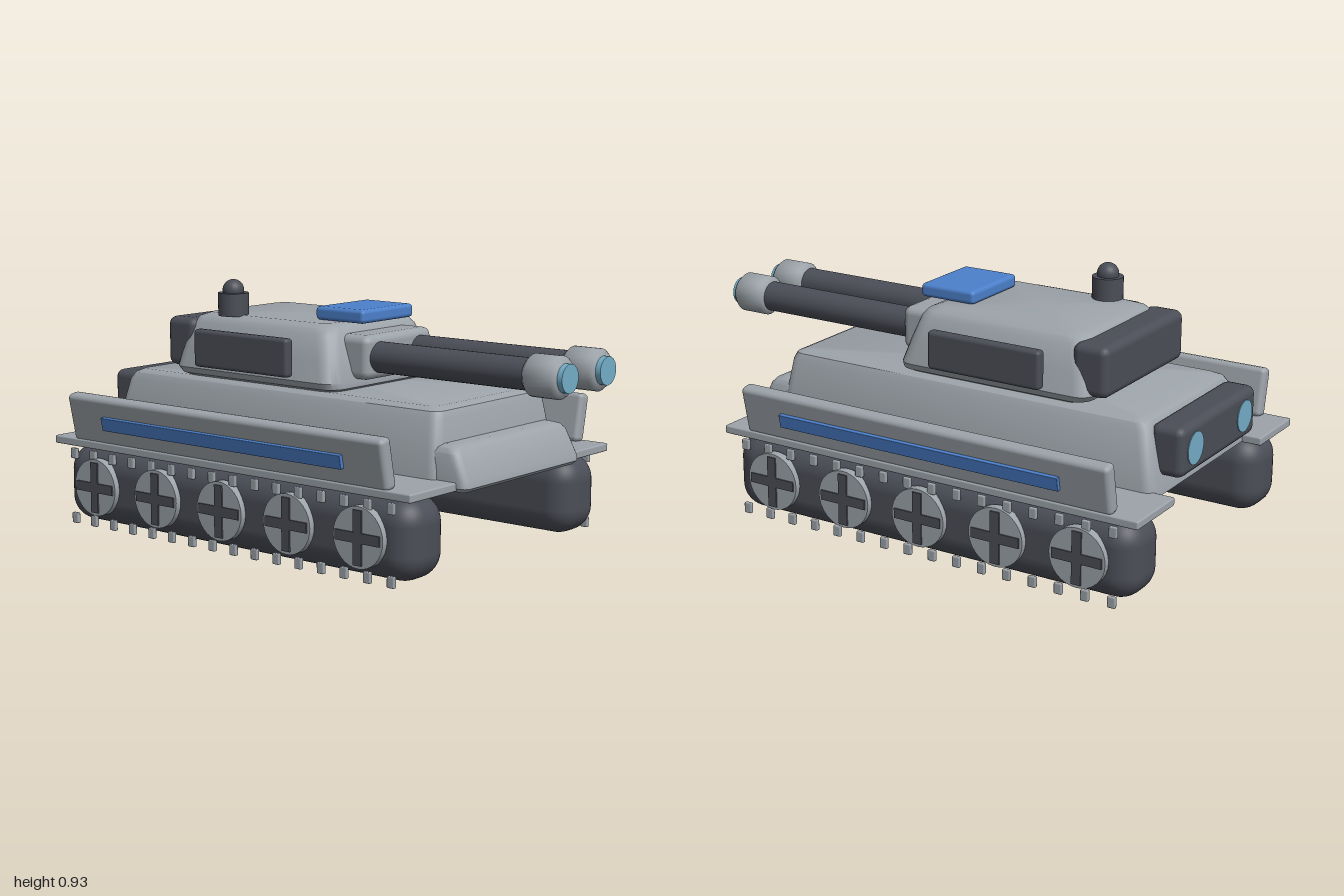
import * as THREE from 'three';
import { toCreasedNormals } from 'three/addons/utils/BufferGeometryUtils.js';
import { RoundedBoxGeometry } from 'three/addons/geometries/RoundedBoxGeometry.js';

const material = (name, color) => {
  const m = new THREE.MeshStandardMaterial({ color });
  m.name = name;
  return m;
};

// Stacks rounded rectangles; each level is [y, xMin, xMax, zHalf, cornerRadius]
function loft(levels, steps = 4) {
  const n = 4 * (steps + 1), pos = [], index = [];
  for (const [y, x0, x1, zh, r] of levels) {
    for (let q = 0; q < 4; q++) {
      const cx = q === 0 || q === 3 ? x1 - r : x0 + r;
      const cz = q < 2 ? zh - r : r - zh;
      for (let k = 0; k <= steps; k++) {
        const a = (q + k / steps) * Math.PI / 2;
        pos.push(cx + r * Math.cos(a), y, cz + r * Math.sin(a));
      }
    }
  }
  const last = levels.length - 1, bottom = pos.length / 3, top = bottom + 1;
  for (const l of [levels[0], levels[last]]) pos.push((l[1] + l[2]) / 2, l[0], 0);
  for (let i = 0; i < n; i++) {
    const j = (i + 1) % n;
    for (let l = 0; l < last; l++) {
      const a = l * n, b = a + n;
      index.push(a + i, b + i, a + j, a + j, b + i, b + j);
    }
    index.push(bottom, i, j, top, last * n + j, last * n + i);
  }
  const g = new THREE.BufferGeometry();
  g.setAttribute('position', new THREE.Float32BufferAttribute(pos, 3));
  g.setIndex(index);
  return toCreasedNormals(g, 0.6);
}

export function createModel() {
  const grey = material('armour grey', 0x9ca3a9);
  const dark = material('dark metal', 0x4b4e57);
  const blue = material('accent blue', 0x4c80cb);
  const glass = material('pale blue glass', 0x74adc8);
  const model = new THREE.Group();
  model.name = 'tank';

  const add = (name, geo, mat, x, y, z, parent = model) => {
    const m = new THREE.Mesh(geo, mat);
    m.name = name;
    m.position.set(x, y, z);
    parent.add(m);
    return m;
  };
  // Rounded box given by its extents
  const box = (name, mat, [x0, x1], [y0, y1], [z0, z1], r, parent = model, seg = 2) =>
    add(name, new RoundedBoxGeometry(x1 - x0, y1 - y0, z1 - z0, seg, r), mat,
      (x0 + x1) / 2, (y0 + y1) / 2, (z0 + z1) / 2, parent);
  const alongX = (r, x0, x1) =>
    new THREE.CylinderGeometry(r, r, x1 - x0, 28).rotateZ(-Math.PI / 2).translate((x0 + x1) / 2, 0, 0);

  // Hull
  add('hull', loft([
    [0.295, -0.91, 0.62, 0.345, 0.03], [0.31, -0.93, 0.635, 0.362, 0.04],
    [0.35, -0.925, 0.633, 0.36, 0.04], [0.53, -0.885, 0.61, 0.325, 0.04],
    [0.555, -0.87, 0.6, 0.312, 0.04], [0.568, -0.84, 0.57, 0.285, 0.03],
  ]), grey, 0, 0, 0);
  add('frontPlate', loft([
    [0.298, 0.45, 0.73, 0.335, 0.02], [0.312, 0.45, 0.746, 0.347, 0.03],
    [0.335, 0.45, 0.742, 0.347, 0.03], [0.425, 0.45, 0.7, 0.338, 0.03],
    [0.442, 0.45, 0.685, 0.325, 0.03], [0.45, 0.45, 0.66, 0.3, 0.03],
  ]), grey, 0, 0, 0);
  box('rearBox', dark, [-0.997, -0.87], [0.37, 0.55], [-0.285, 0.285], 0.03);
  for (const z of [-0.19, 0.19]) add('rearLight', alongX(0.058, -1, -0.98), glass, 0, 0.46, z);

  // Turret
  const turret = new THREE.Group();
  turret.name = 'turret';
  model.add(turret);
  add('turretShell', loft([
    [0.565, -0.61, 0.11, 0.28, 0.06], [0.578, -0.635, 0.135, 0.305, 0.06],
    [0.6, -0.65, 0.135, 0.314, 0.06], [0.68, -0.635, 0.11, 0.295, 0.06],
    [0.765, -0.61, 0.082, 0.267, 0.06], [0.787, -0.595, 0.065, 0.25, 0.06],
    [0.8, -0.56, 0.03, 0.215, 0.05],
  ]), grey, 0, 0, 0, turret);
  box('turretRearBox', dark, [-0.705, -0.565], [0.595, 0.78], [-0.285, 0.285], 0.03, turret);
  box('roofHatch', blue, [-0.085, 0.14], [0.8, 0.85], [-0.147, 0.147], 0.015, turret);
  box('gunMantlet', grey, [0.04, 0.195], [0.605, 0.765], [-0.19, 0.19], 0.03, turret);
  for (const s of [-1, 1]) {
    box('turretSidePlate', dark, [-0.488, -0.032], [0.615, 0.755],
      [s * 0.346 - 0.021, s * 0.346 + 0.021], 0.014, turret);
  }

  // Twin guns
  const muzzleProfile = [[0, 0.845], [0.06, 0.845], [0.074, 0.86], [0.074, 0.965], [0.062, 0.98], [0, 0.98]];
  const muzzle = toCreasedNormals(
    new THREE.LatheGeometry(muzzleProfile.map(p => new THREE.Vector2(...p)), 28).rotateZ(-Math.PI / 2), 0.9);
  for (const z of [-0.116, 0.116]) {
    add('gunBarrel', alongX(0.056, 0.15, 0.88), dark, 0, 0.685, z, turret);
    add('muzzle', muzzle, grey, 0, 0.685, z, turret);
    add('muzzleLens', alongX(0.05, 0.97, 1), glass, 0, 0.685, z, turret);
  }

  // Roof beacon
  add('beaconBase', new THREE.CylinderGeometry(0.057, 0.057, 0.085, 28), dark, -0.432, 0.838, 0.207, turret);
  add('beaconDome', new THREE.SphereGeometry(0.04, 24, 16), dark, -0.432, 0.89, 0.207, turret);

  // Running gear, fender and skirt on each side
  for (const s of [1, -1]) {
    const side = new THREE.Group();
    side.name = s > 0 ? 'leftSide' : 'rightSide';
    model.add(side);
    const span = (a, b) => (s > 0 ? [a, b] : [-b, -a]);

    box('track', dark, [-0.978, 0.69], [0.008, 0.3], span(0.346, 0.577), 0.095, side, 5);
    box('fender', grey, [-1, 0.705], [0.302, 0.332], span(0.335, 0.594), 0.006, side);
    const skirt = box('sideSkirt', grey, [-0.9, 0.605], [0.325, 0.508], span(0.55, 0.605), 0.018, side);
    const stripe = box('sideStripe', blue, [-0.715, 0.43], [0.384, 0.434], span(0.605, 0.621), 0.002, side);
    skirt.rotation.x = stripe.rotation.x = s * 0.2;

    // Road wheels with dark crossed spokes
    const disc = new THREE.CylinderGeometry(0.107, 0.107, 0.033, 32).rotateX(Math.PI / 2);
    for (let i = 0; i < 5; i++) {
      const wheel = new THREE.Group();
      wheel.name = 'roadWheel';
      wheel.position.set(-0.78 + i * 0.317, 0.158, 0);
      side.add(wheel);
      add('wheelDisc', disc, grey, 0, 0, s * 0.583, wheel);
      add('spokeAcross', new THREE.BoxGeometry(0.19, 0.036, 0.014), dark, 0, 0, s * 0.598, wheel);
      add('spokeUpright', new THREE.BoxGeometry(0.036, 0.19, 0.0138), dark, 0, 0, s * 0.598, wheel);
    }

    // Track studs along the upper and lower edges
    const stud = new RoundedBoxGeometry(0.03, 0.04, 0.016, 1, 0.004);
    for (let i = 0; i < 16; i++) {
      for (const y of [0.024, 0.272]) add('trackStud', stud, grey, -0.905 + i * 0.1015, y, s * 0.582, side);
    }
  }
  return model;
}
